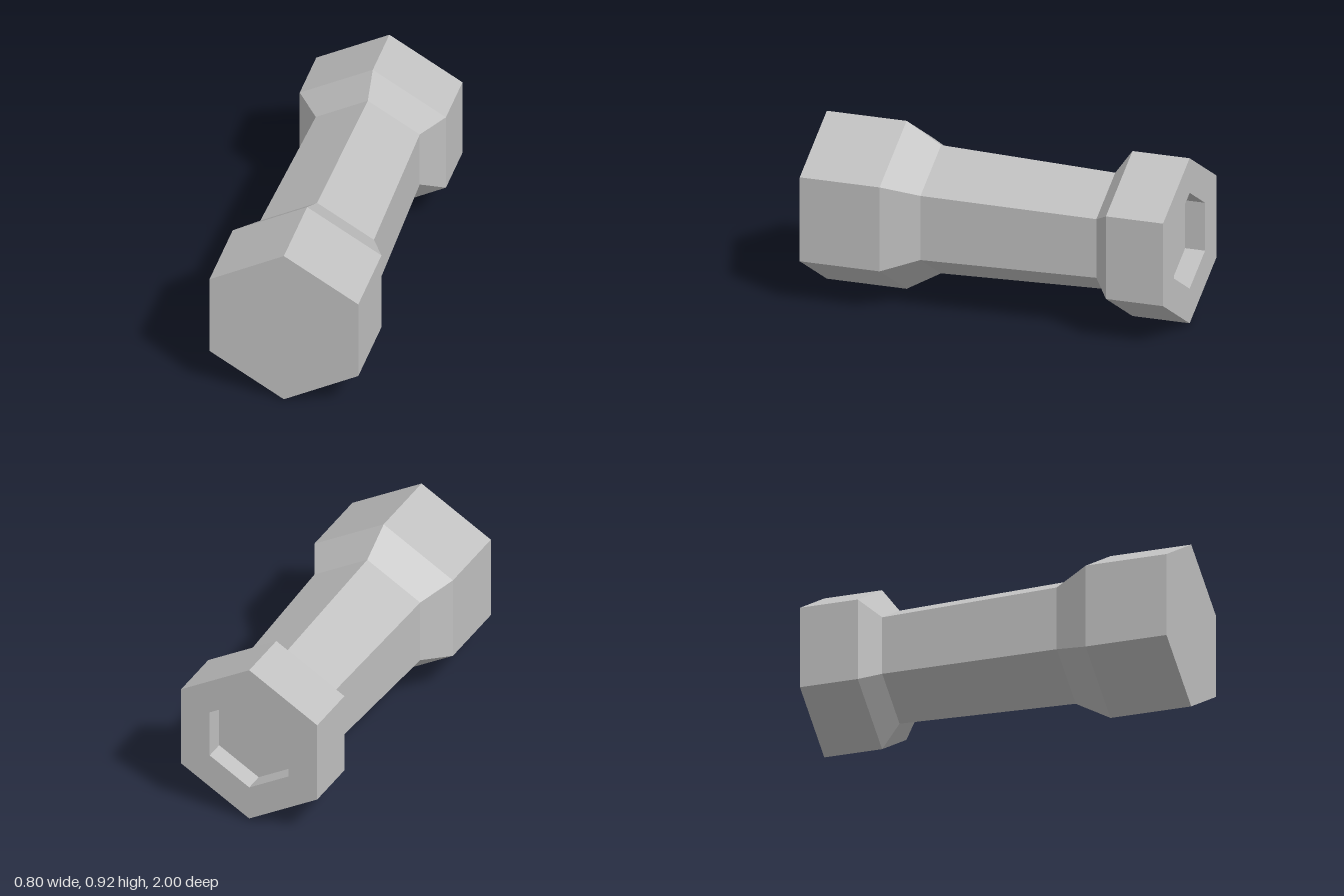
import * as THREE from 'three';

const CENTER_Y = 0.461;

// Six-sided turned part along z; the profile lists [radius, z] from back to front.
function hexPart(name, profile, material) {
  const points = profile.map(([r, z]) => new THREE.Vector2(r, z));
  const geometry = new THREE.LatheGeometry(points, 6).toNonIndexed();
  geometry.computeVertexNormals(); // crisp facets
  geometry.rotateX(Math.PI / 2);
  const mesh = new THREE.Mesh(geometry, material);
  mesh.name = name;
  mesh.position.y = CENTER_Y;
  return mesh;
}

export function createModel() {
  const group = new THREE.Group();
  group.name = 'hexBar';
  const steel = new THREE.MeshStandardMaterial({ color: 0xc0c0c0 });
  steel.name = 'grey steel';

  group.add(
    // hexagonal socket sunk into the back face
    hexPart('socket', [[0, -0.89], [0.263, -0.89], [0.263, -1]], steel),
    // back head with its steep shoulder
    hexPart('backHead', [[0.263, -1], [0.453, -1], [0.453, -0.685], [0.322, -0.59]], steel),
    // shaft, slightly thicker towards the front
    hexPart('shaft', [[0.322, -0.59], [0.352, 0.37]], steel),
    // solid front head with a long shoulder
    hexPart('frontHead', [[0.352, 0.37], [0.461, 0.56], [0.461, 1], [0, 1]], steel),
  );
  return group;
}
